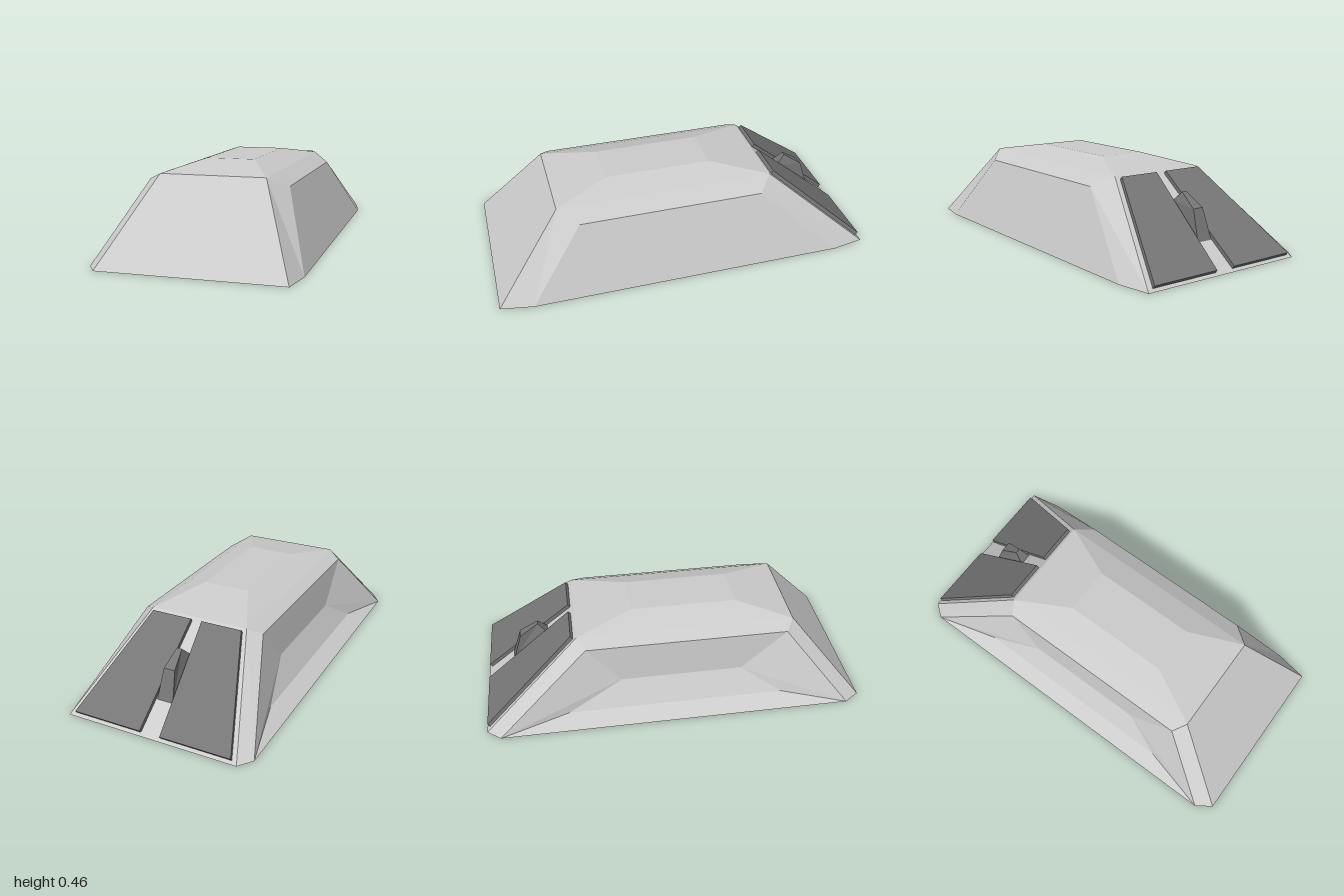
import * as THREE from 'three';

const grey = new THREE.MeshStandardMaterial({ color: 0xcccccc, flatShading: true });
const dark = new THREE.MeshStandardMaterial({ color: 0x767676, flatShading: true });

// Flat polygons, each turned away from the centre (or towards it when inward)
function polygons(faces, centre, inward = false) {
  const pos = [];
  const v = p => new THREE.Vector3(...p);
  const c = v(centre);
  for (const f of faces) {
    for (let i = 1; i < f.length - 1; i++) {
      const [p, q, r] = [f[0], f[i], f[i + 1]].map(v);
      const n = q.clone().sub(p).cross(r.clone().sub(p));
      const mid = p.clone().add(q).add(r).divideScalar(3).sub(c);
      const flip = (n.dot(mid) < 0) !== inward;
      for (const k of flip ? [p, r, q] : [p, q, r]) pos.push(k.x, k.y, k.z);
    }
  }
  const g = new THREE.BufferGeometry();
  g.setAttribute('position', new THREE.Float32BufferAttribute(pos, 3));
  g.computeVertexNormals();
  return g;
}

// Closed solid between two matching loops
function loft(a, b) {
  const all = [...a, ...b];
  const centre = [0, 1, 2].map(k => all.reduce((s, p) => s + p[k], 0) / all.length);
  const sides = a.map((p, i) => {
    const j = (i + 1) % a.length;
    return [p, a[j], b[j], b[i]];
  });
  return polygons([a, b, ...sides], centre);
}

// Point on the rear slope, raised by h along its normal
const onSlope = (x, z, h) => [x, 0.826 * (z + 1) + h * 0.77, z - h * 0.636];

const rect = (w, d) => [[-w, d], [w, d], [w, -d], [-w, -d]];

// Downward-facing plate with an optional hole
function underPlate(outline, hole, y) {
  const toPoints = pts => pts.map(([x, z]) => new THREE.Vector2(x, z));
  const s = new THREE.Shape(toPoints(outline));
  if (hole) s.holes.push(new THREE.Path(toPoints(hole)));
  return new THREE.ShapeGeometry(s).rotateX(Math.PI / 2).translate(0, y, 0);
}

export function createModel() {
  const model = new THREE.Group();
  const add = (name, geometry, material = grey) => {
    const m = new THREE.Mesh(geometry, material);
    m.name = name;
    model.add(m);
  };

  // Hull: base loop, shoulder loop and roof, with slightly uneven sides
  const base = [[-0.45, 1], [0.475, 1], [0.505, 0.83], [0.505, -0.83],
    [0.475, -1], [-0.45, -1], [-0.505, -0.93], [-0.505, 0.92]];
  const b = base.map(([x, z]) => [x, 0, z]);
  const u = [[-0.255, 0.413, 0.65], [0.28, 0.413, 0.65], [0.37, 0.362, 0.55], [0.37, 0.362, -0.42],
    [0.28, 0.413, -0.5], [-0.255, 0.413, -0.5], [-0.325, 0.38, -0.46], [-0.325, 0.38, 0.605]];
  const t = [[-0.115, 0.365], [0.14, 0.365], [0.14, -0.2], [-0.115, -0.2]].map(([x, z]) => [x, 0.462, z]);
  const faces = [t];
  for (let i = 0; i < 8; i++) {
    const j = (i + 1) % 8;
    if (i !== 6) faces.push([u[i], b[i], b[j], u[j]]);
  }
  // Roof slopes front, left, back and right, then the two narrow shoulders
  faces.push([u[0], u[1], t[1], t[0]], [u[1], u[4], t[2], t[1]],
    [u[4], u[5], t[3], t[2]], [u[5], u[0], t[0], t[3]],
    [u[1], u[2], u[3], u[4]], [u[5], u[6], u[7], u[0]]);
  // Sunken side with a low shelf and a steep wall
  const [l0, l1] = [-0.57, 0.57].map(z => [-0.42, 0.05, z]);
  const [c0, c1] = [-0.28, 0.36].map(z => [-0.345, 0.18, z]);
  faces.push([b[6], b[7], l1, l0], [l0, l1, c1, c0], [c0, c1, u[7], u[6]],
    [c0, u[6], b[6], l0], [c1, l1, b[7], u[7]]);
  add('hull', polygons(faces, [0, 0.2, 0]));

  // Underside: stepped recesses, one inside the other
  const steps = [
    { w: 0.41, d: 0.875, y0: 0, y1: 0.02 },
    { w: 0.085, d: 0.188, y0: 0.02, y1: 0.04 },
    { w: 0.042, d: 0.075, y0: 0.04, y1: 0.08 },
  ];
  let outline = base;
  steps.forEach(({ w, d, y0, y1 }, i) => {
    const loop = rect(w, d);
    add('undersidePlate' + (i + 1), underPlate(outline, loop, y0));
    const walls = loop.map(([x, z], k) => {
      const [x2, z2] = loop[(k + 1) % 4];
      return [[x, y0, z], [x2, y0, z2], [x2, y1, z2], [x, y1, z]];
    });
    add('recessWalls' + (i + 1), polygons(walls, [0, (y0 + y1) / 2, 0], true));
    outline = loop;
  });
  add('recessFloor', underPlate(outline, null, 0.08));

  // Pair of raised panels on the rear slope
  for (const side of [-1, 1]) {
    const corners = [[0.055, -0.985], [0.43, -0.985], [0.25, -0.517], [0.03, -0.517]];
    const loop = h => corners.map(([x, z]) => onSlope(0.01 + side * x, z, h));
    add(side < 0 ? 'rightRearPanel' : 'leftRearPanel', loft(loop(0), loop(0.02)), dark);
  }

  // Tapered latch in the gap between the panels
  const cx = 0.008;
  const foot = [[-0.033, -0.65], [0.033, -0.65], [0.043, -0.85], [-0.043, -0.85]]
    .map(([x, z]) => onSlope(cx + x, z, 0));
  const crown = [[-0.014, 0.34, -0.7], [0.014, 0.34, -0.7], [0.03, 0.275, -0.8], [-0.03, 0.275, -0.8]]
    .map(([x, y, z]) => [cx + x, y, z]);
  add('rearLatch', loft(foot, crown), dark);

  return model;
}
